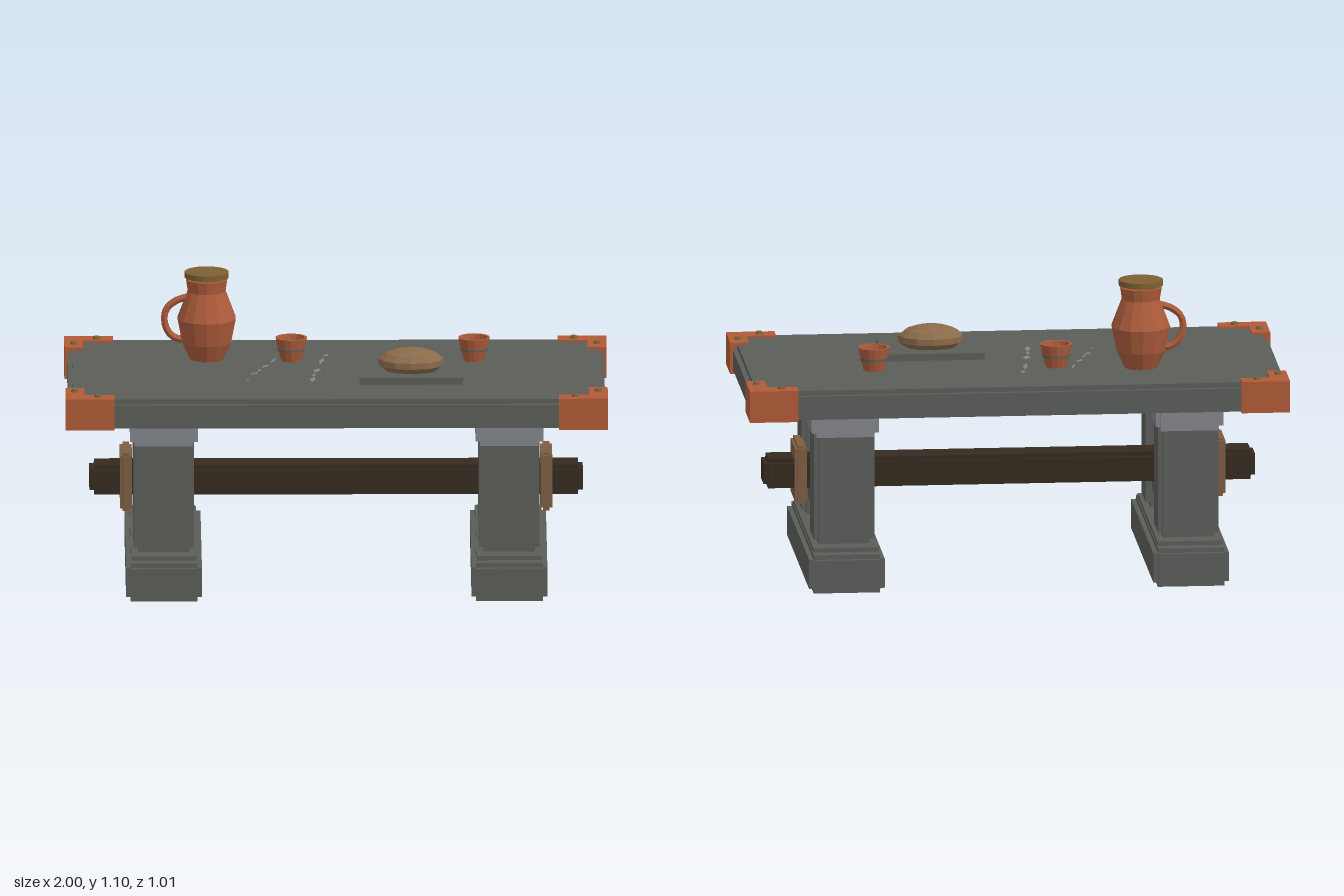
import * as THREE from 'three';
import { mergeGeometries } from 'three/addons/utils/BufferGeometryUtils.js';

const mat = (name, color, extra = {}) => {
  const m = new THREE.MeshStandardMaterial({ color, ...extra });
  m.name = name;
  return m;
};

// Block with a small square rebate along every edge
function steppedBlock(w, h, d, c) {
  return mergeGeometries([
    new THREE.BoxGeometry(w, h - 2 * c, d - 2 * c),
    new THREE.BoxGeometry(w - 2 * c, h, d - 2 * c),
    new THREE.BoxGeometry(w - 2 * c, h - 2 * c, d),
  ]);
}

const lathe = (points, sides) =>
  new THREE.LatheGeometry(points.map(([r, y]) => new THREE.Vector2(r, y)), sides);

export function createModel() {
  const root = new THREE.Group();
  root.name = 'tavernTable';

  const stone = mat('darkStone', 0x5b5d59);
  const paleStone = mat('paleStone', 0x82858a);
  const darkWood = mat('darkWood', 0x352a20);
  const wood = mat('wedgeWood', 0x7d5d42);
  const copper = mat('copper', 0xb05b37);
  const bronze = mat('bronze', 0x7c6032);
  const clay = mat('clay', 0xac5c3b, { flatShading: true, side: THREE.DoubleSide });
  const crust = mat('breadCrust', 0x8a6a4b, { flatShading: true });

  const add = (name, geometry, material, x = 0, y = 0, z = 0, parent = root) => {
    const mesh = new THREE.Mesh(geometry, material);
    mesh.name = name;
    mesh.position.set(x, y, z);
    parent.add(mesh);
    return mesh;
  };
  // Stepped block given by its bottom and top heights
  const block = (name, m, x, z, w, d, y0, y1, c, parent) =>
    add(name, steppedBlock(w, y1 - y0, d, c), m, x, (y0 + y1) / 2, z, parent);

  // Table top
  block('tableTop', stone, 0, 0, 1.98, 0.98, 0.66, 0.77, 0.018);

  // Pale veins lying on the top, as slivers: start x, z, end x, z, width
  const veins = [
    [-0.22, -0.19, -0.24, -0.10, 0.012], [-0.25, -0.08, -0.27, -0.03, 0.022],
    [-0.28, 0.0, -0.285, 0.03, 0.016], [-0.29, 0.04, -0.31, 0.08, 0.026],
    [-0.322, 0.14, -0.328, 0.17, 0.008], [-0.03, -0.25, -0.04, -0.20, 0.018],
    [-0.045, -0.19, -0.06, -0.08, 0.018], [-0.065, -0.02, -0.075, 0.05, 0.03],
    [-0.08, 0.06, -0.083, 0.12, 0.014], [-0.083, 0.12, -0.09, 0.20, 0.024],
  ];
  for (const [x0, z0, x1, z1, w] of veins) {
    const mx = (x0 + x1) / 2, mz = (z0 + z1) / 2;
    const shape = new THREE.Shape();
    shape.moveTo(x0, -z0);
    shape.lineTo(mx - w / 2, -mz);
    shape.lineTo(x1, -z1);
    shape.lineTo(mx + w / 2, -mz);
    add('vein', new THREE.ShapeGeometry(shape).rotateX(-Math.PI / 2), paleStone, 0, 0.7708, 0);
  }

  // Copper corner brackets with rivets
  for (const sx of [-1, 1]) {
    for (const sz of [-1, 1]) {
      const corner = new THREE.Group();
      corner.name = 'cornerBracket';
      root.add(corner);
      const plate = (x0, x1, z0, z1, y0, y1) => add('bracketPlate',
        new THREE.BoxGeometry(x1 - x0, y1 - y0, z1 - z0), copper,
        sx * (x0 + x1) / 2, (y0 + y1) / 2, sz * (z0 + z1) / 2, corner);
      plate(0.93, 1.0, 0.32, 0.503, 0.76, 0.778);
      plate(0.82, 0.93, 0.433, 0.503, 0.76, 0.778);
      plate(0.98, 1.0, 0.32, 0.503, 0.66, 0.76);
      plate(0.82, 0.98, 0.483, 0.503, 0.66, 0.76);
      for (const [x, z] of [[0.965, 0.38], [0.88, 0.463]]) {
        add('rivet', new THREE.CylinderGeometry(0.011, 0.015, 0.012, 8), bronze, sx * x, 0.782, sz * z, corner);
      }
    }
  }

  // Trestles
  for (const s of [-1, 1]) {
    const trestle = new THREE.Group();
    trestle.name = 'trestle';
    root.add(trestle);
    const x = s * 0.637;
    block('foot', stone, x, 0, 0.28, 0.948, 0, 0.144, 0.017, trestle);
    add('plinth', new THREE.BoxGeometry(0.24, 0.135, 0.82), stone, x, 0.0925, 0, trestle);
    for (const sz of [-1, 1]) {
      block('post', stone, x, sz * 0.255, 0.224, 0.204, 0.16, 0.59, 0.017, trestle);
    }
    block('lowerRail', stone, x, 0, 0.18, 0.36, 0.224, 0.347, 0.011, trestle);
    block('upperRail', stone, x, 0, 0.18, 0.36, 0.512, 0.573, 0.011, trestle);
    block('capital', paleStone, x, 0, 0.25, 0.82, 0.573, 0.68, 0.017, trestle);
    block('wedge', wood, s * 0.775, 0, 0.044, 0.204, 0.257, 0.476, 0.01, trestle);
  }

  // Long stretcher beam
  block('stretcher', darkWood, 0, 0, 1.82, 0.142, 0.31, 0.422, 0.017);

  // Jug with lid and handle
  const jug = new THREE.Group();
  jug.name = 'jug';
  jug.position.set(-0.476, 0.77, -0.176);
  root.add(jug);
  add('jugBody', lathe([[0, 0], [0.062, 0], [0.092, 0.065], [0.11, 0.155],
    [0.071, 0.258], [0.078, 0.303], [0.066, 0.303], [0.06, 0.26], [0, 0.25]], 14), clay, 0, 0, 0, jug);
  add('jugLid', new THREE.CylinderGeometry(0.082, 0.082, 0.021, 18), bronze, 0, 0.32, 0, jug);
  const handlePath = new THREE.CatmullRomCurve3([
    [-0.068, 0.235], [-0.11, 0.222], [-0.148, 0.19], [-0.156, 0.145],
    [-0.14, 0.1], [-0.11, 0.077], [-0.08, 0.075],
  ].map(([x, y]) => new THREE.Vector3(x, y, 0)));
  add('jugHandle', new THREE.TubeGeometry(handlePath, 12, 0.014, 6), clay, 0, 0, 0, jug);

  // Cups, each with a disc of drink that shows as a thin band
  for (const x of [-0.164, 0.51]) {
    const cup = new THREE.Group();
    cup.name = 'cup';
    cup.position.set(x, 0.77, -0.146);
    root.add(cup);
    add('cupWall', lathe([[0.038, 0.001], [0.05, 0.044], [0.059, 0.088], [0.05, 0.088], [0.042, 0.044], [0.03, 0.004]], 14),
      clay, 0, 0, 0, cup);
    add('cupDrink', new THREE.CylinderGeometry(0.052, 0.052, 0.008, 14), stone, 0, 0.045, 0, cup);
  }

  // Bread on its board
  add('breadBoard', new THREE.BoxGeometry(0.38, 0.026, 0.268), stone, 0.276, 0.785, 0.118);
  add('bread', new THREE.SphereGeometry(1, 12, 7).scale(0.123, 0.051, 0.094), crust, 0.276, 0.829, 0.118);

  return root;
}
